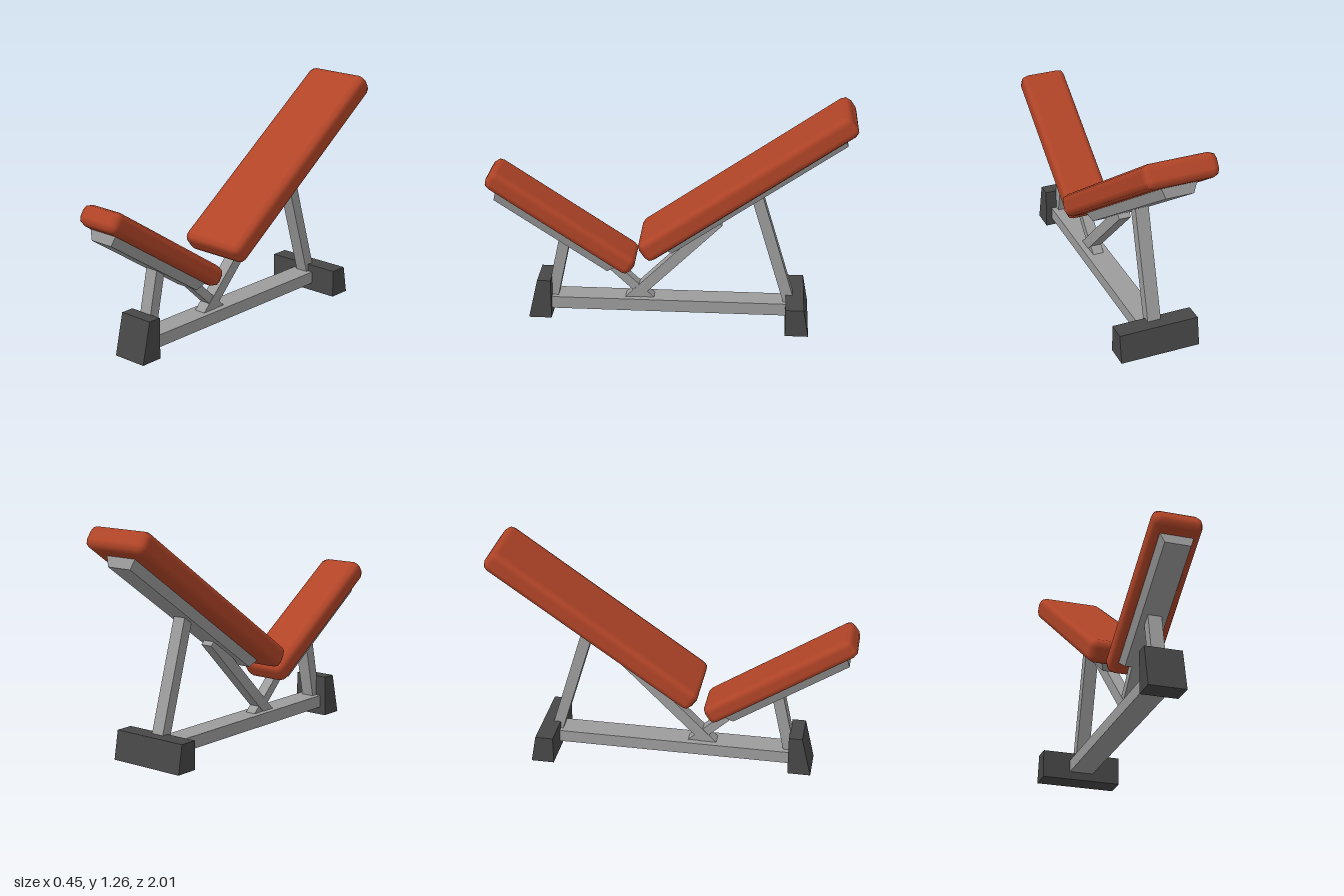
import * as THREE from 'three';
import { RoundedBoxGeometry } from 'three/addons/geometries/RoundedBoxGeometry.js';

const material = (name, color) => {
  const m = new THREE.MeshStandardMaterial({ color });
  m.name = name;
  return m;
};

export function createModel() {
  const model = new THREE.Group();
  model.name = 'adjustableBench';
  const upholstery = material('rust upholstery', 0xb04427);
  const steel = material('grey steel', 0x9c9c9c);
  const rubber = material('dark rubber', 0x474747);

  const add = (parent, name, geometry, mat) => {
    const mesh = new THREE.Mesh(geometry, mat);
    mesh.name = name;
    parent.add(mesh);
    return mesh;
  };

  // Box whose corners are moved by a rule
  const reshapedBox = (w, h, d, rule) => {
    const g = new THREE.BoxGeometry(w, h, d);
    const p = g.attributes.position;
    const v = new THREE.Vector3();
    for (let i = 0; i < p.count; i++) {
      v.fromBufferAttribute(p, i);
      rule(v);
      p.setXYZ(i, v.x, v.y, v.z);
    }
    g.computeVertexNormals();
    return g;
  };

  // Straight bar between two [z, y] points on the centre plane
  const strut = (name, [z0, y0], [z1, y1], width, thickness) => {
    const length = Math.hypot(z1 - z0, y1 - y0);
    const bar = add(model, name, new THREE.BoxGeometry(width, length, thickness), steel);
    bar.position.set(0, (y0 + y1) / 2, (z0 + z1) / 2);
    bar.rotation.x = Math.atan2(z1 - z0, y1 - y0);
  };

  // Tilted cushion with a tapered steel tray underneath
  const cushion = (name, [w, h, d], tray, y, z, degrees) => {
    const group = new THREE.Group();
    group.name = name;
    group.position.set(0, y, z);
    group.rotation.x = THREE.MathUtils.degToRad(degrees);
    const grow = 0.008; // offsets the shallow one-step rounding
    add(group, name + 'Pad', new RoundedBoxGeometry(w + grow, h + grow, d + grow, 1, 0.04), upholstery);
    const depth = 0.064;
    const g = reshapedBox(tray.width, depth, tray.length, (v) => {
      if (v.y < 0) {
        v.x -= Math.sign(v.x) * 0.025;
        v.z -= Math.sign(v.z) * 0.023;
      }
    });
    add(group, name + 'Tray', g, steel).position.y = -h / 2 - 0.056 + depth / 2;
    model.add(group);
  };

  cushion('seat', [0.26, 0.108, 0.937], { width: 0.19, length: 0.79 }, 0.583, 0.589, -33.5);
  cushion('backrest', [0.39, 0.119, 1.363], { width: 0.2, length: 1.19 }, 0.832, -0.425, 35);

  // Base beam and supports
  add(model, 'baseBeam', new THREE.BoxGeometry(0.135, 0.07, 1.33), steel).position.set(0, 0.08, 0);
  strut('frontLeg', [0.66, 0.08], [0.573, 0.485], 0.075, 0.062);
  strut('rearLeg', [-0.682, 0.09], [-0.482, 0.752], 0.075, 0.062);
  strut('seatBrace', [0.085, 0.084], [0.36, 0.344], 0.062, 0.05);
  strut('backrestBrace', [0.228, 0.085], [-0.275, 0.588], 0.068, 0.062);

  // Feet: upright inner face, outer face leaning in towards the top
  const foot = (name, width, height, lean, side) => {
    const g = reshapedBox(width, height, 0.128, (v) => {
      if (v.y > 0 && v.z * side > 0) v.z -= side * lean;
    });
    add(model, name, g, rubber).position.set(0, height / 2, side * 0.72);
  };
  foot('frontFoot', 0.204, 0.23, 0.053, 1);
  foot('rearFoot', 0.45, 0.157, 0.028, -1);

  return model;
}
